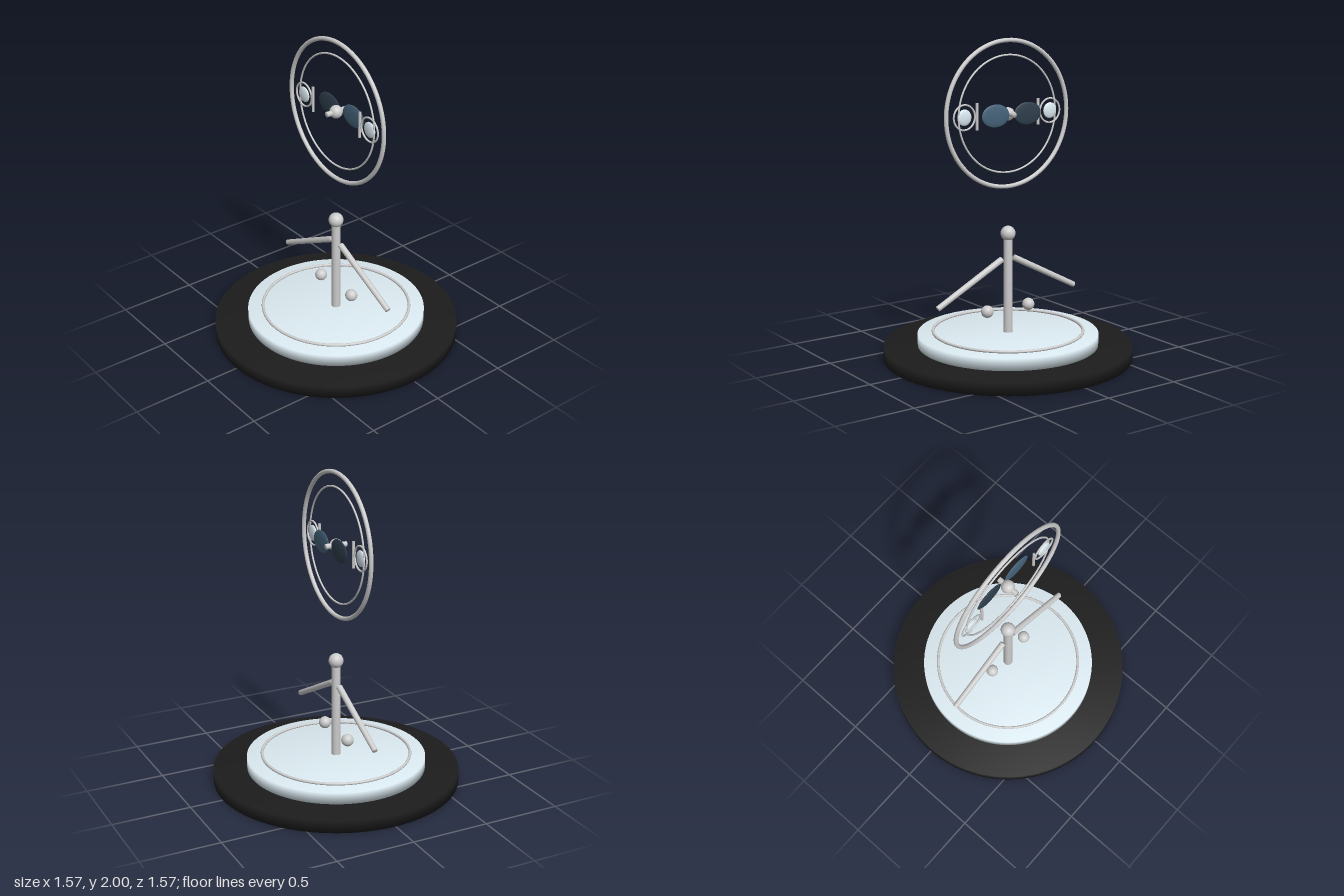
import * as THREE from 'three';
import { mergeVertices } from 'three/addons/utils/BufferGeometryUtils.js';

const material = (color) => new THREE.MeshStandardMaterial({ color });
const grey = material(0xcccccc);
const pale = material(0xdcebf2);
const black = material(0x1c1c1c);
const darkBlue = material(0x2f3f4d);
const blue = material(0x46637a);

// Cylinder with shading that runs softly over its rims
function softCylinder(rTop, rBottom, height, sides = 32) {
  const g = new THREE.CylinderGeometry(rTop, rBottom, height, sides);
  g.deleteAttribute('normal');
  g.deleteAttribute('uv');
  const welded = mergeVertices(g);
  welded.computeVertexNormals();
  return welded;
}

export function createModel() {
  const model = new THREE.Group();
  const CY = 1.537; // height of the floating wheel's centre

  function add(parent, name, geometry, mat, x = 0, y = 0, z = 0) {
    const mesh = new THREE.Mesh(geometry, mat);
    mesh.name = name;
    mesh.position.set(x, y, z);
    parent.add(mesh);
    return mesh;
  }
  const ball = (r) => new THREE.SphereGeometry(r, 32, 20);
  const ring = (R, r) => new THREE.TorusGeometry(R, r, 14, 96);

  // Stepped round base with a thin ring lying on it
  add(model, 'base', softCylinder(0.785, 0.785, 0.08, 96), black, 0, 0.04);
  add(model, 'plate', softCylinder(0.57, 0.57, 0.075, 96), pale, 0, 0.1175);
  add(model, 'plateRing', ring(0.473, 0.009), grey, 0, 0.168).rotation.x = Math.PI / 2;

  // Post with a ball on top
  add(model, 'post', softCylinder(0.027, 0.03, 0.635), grey, 0, 0.4725);
  add(model, 'postBall', ball(0.047), grey, 0, 0.79);

  // Sloping arms and small balls on both sides of the post
  for (const [side, s] of [['left', 1], ['right', -1]]) {
    const inner = new THREE.Vector3(s * 0.048, 0.628, 0);
    const outer = new THREE.Vector3(s * 0.52, 0.385, 0);
    const along = inner.clone().sub(outer);
    const arm = add(model, side + 'Arm', softCylinder(0.02, 0.018, along.length()), grey);
    arm.position.lerpVectors(inner, outer, 0.5);
    arm.quaternion.setFromUnitVectors(new THREE.Vector3(0, 1, 0), along.normalize());
    add(model, side + 'SmallBall', ball(0.039), grey, s * 0.158, 0.31);
  }

  // Floating wheel: two rings and a hub on a short axle
  const wheel = new THREE.Group();
  wheel.name = 'wheel';
  wheel.position.y = CY;
  model.add(wheel);
  add(wheel, 'outerRing', ring(0.45, 0.0135), grey);
  add(wheel, 'innerRing', ring(0.361, 0.006), grey);
  add(wheel, 'hub', ball(0.041), grey);
  add(wheel, 'axle', softCylinder(0.017, 0.017, 0.14), grey).rotation.x = Math.PI / 2;

  // Blades, upright bars and ringed discs, mirrored
  for (const [side, s] of [['left', 1], ['right', -1]]) {
    const blade = ball(1).scale(0.101, 0.07, 0.011);
    add(wheel, side + 'Blade', blade, s > 0 ? blue : darkBlue, s * 0.119, 0, -0.04);
    add(wheel, side + 'Bar', softCylinder(0.009, 0.009, 0.165, 20), grey, s * 0.228, 0);
    add(wheel, side + 'DiscRing', ring(0.076, 0.006), grey, s * 0.32, 0);
    add(wheel, side + 'Disc', ball(1).scale(0.05, 0.05, 0.013), pale, s * 0.32, 0);
  }
  return model;
}
